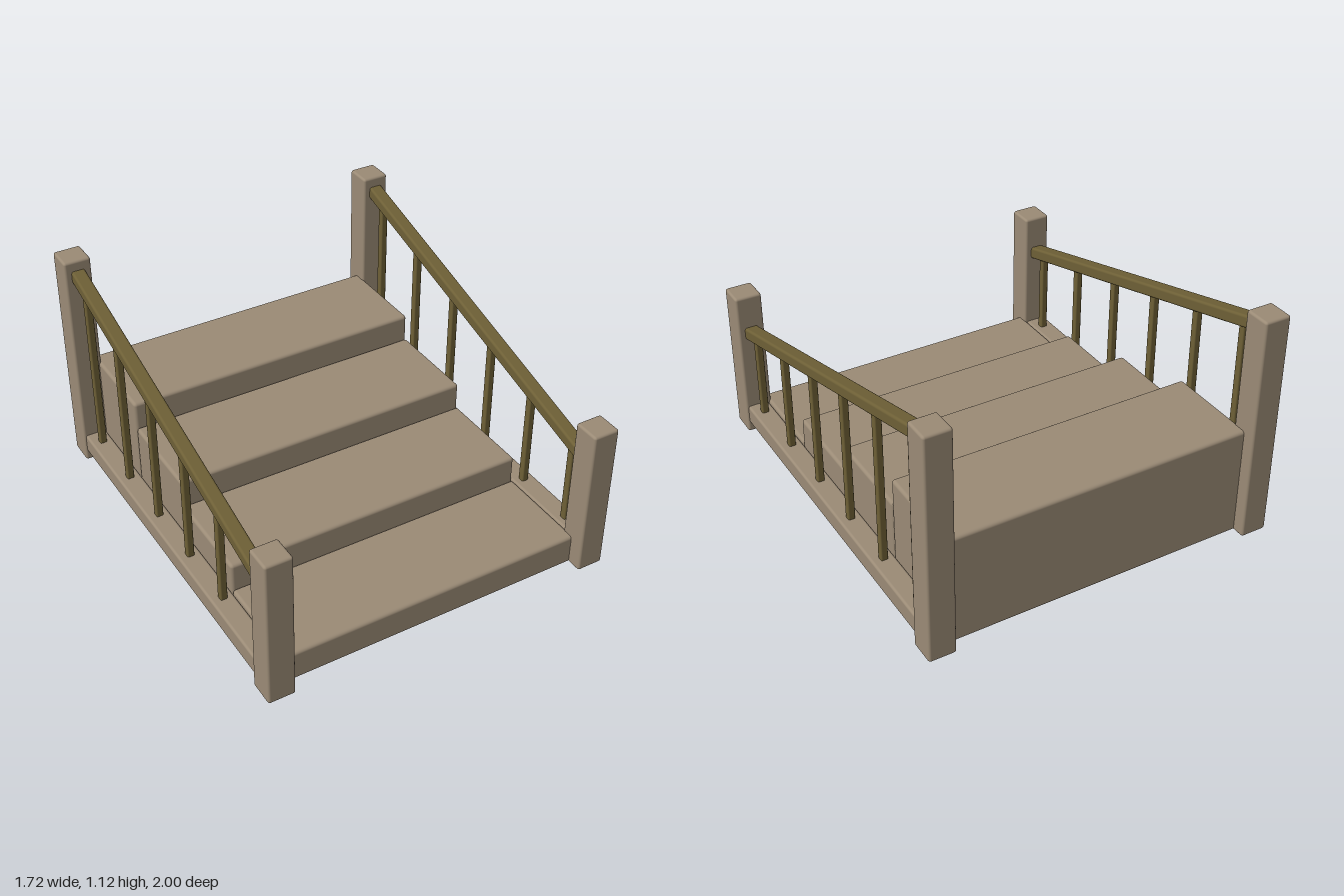
import * as THREE from 'three';
import { RoundedBoxGeometry } from 'three/addons/geometries/RoundedBoxGeometry.js';

export function createModel() {
  const model = new THREE.Group();
  model.name = 'staircase';

  const stone = new THREE.MeshStandardMaterial({ color: 0x9b8b76 });
  stone.name = 'stone';
  const wood = new THREE.MeshStandardMaterial({ color: 0x6e6036 });
  wood.name = 'olive wood';

  // Softly bevelled box given by its size and centre
  const block = (parent, name, material, [w, h, d], [x, y, z], bevel) => {
    const mesh = new THREE.Mesh(new RoundedBoxGeometry(w, h, d, 2, bevel), material);
    mesh.name = name;
    mesh.position.set(x, y, z);
    parent.add(mesh);
    return mesh;
  };

  // Four solid steps, rising toward the back
  const depth = 0.4675;
  for (let i = 0; i < 4; i++) {
    const height = 0.15 + i * 0.131;
    block(model, `step${i + 1}`, stone, [1.484, height, depth],
      [0, height / 2, 0.93 - depth * (i + 0.5)], 0.016);
  }

  // Matching balustrade on each side
  const slope = 0.279;
  const railY = (z) => 0.797 - slope * z;
  for (const side of [-1, 1]) {
    const balustrade = new THREE.Group();
    balustrade.name = side > 0 ? 'leftBalustrade' : 'rightBalustrade';
    model.add(balustrade);
    const x = side * 0.795;

    // Newel posts and the curb between them
    block(balustrade, 'frontPost', stone, [0.13, 0.75, 0.13], [x, 0.375, 0.935], 0.012);
    block(balustrade, 'backPost', stone, [0.13, 1.12, 0.13], [x, 0.56, -0.935], 0.012);
    block(balustrade, 'curb', stone, [0.104, 0.095, 1.78], [side * 0.798, 0.0975, 0], 0.012);

    // Sloping handrail
    const rail = block(balustrade, 'handrail', wood,
      [0.066, 0.06, 1.77 * Math.hypot(1, slope)], [x, railY(0), 0], 0.012);
    rail.rotation.x = Math.atan(slope);

    // Balusters, reaching up into the rail
    for (let i = 0; i < 6; i++) {
      const z = 0.797 - i * 0.318;
      const bottom = 0.14;
      const top = railY(z);
      block(balustrade, `baluster${i + 1}`, wood, [0.034, top - bottom, 0.034],
        [x, (top + bottom) / 2, z], 0.007);
    }
  }

  return model;
}
